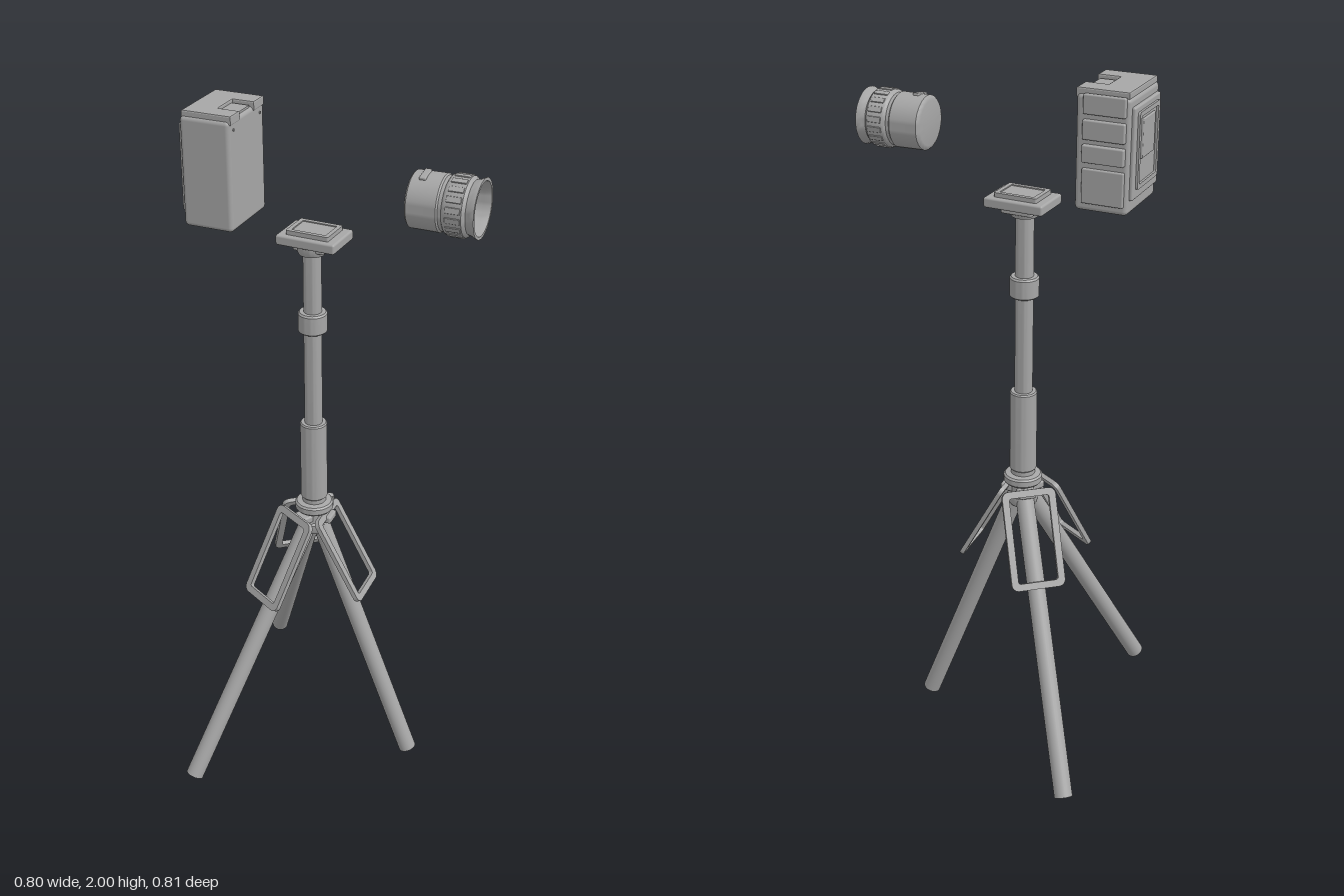
import * as THREE from 'three';
import { RoundedBoxGeometry } from 'three/addons/geometries/RoundedBoxGeometry.js';
import { toCreasedNormals } from 'three/addons/utils/BufferGeometryUtils.js';

const grey = new THREE.MeshStandardMaterial({ color: 0xa6a6a6 });
grey.name = 'plain grey';

function add(parent, name, geometry, x = 0, y = 0, z = 0) {
  const mesh = new THREE.Mesh(geometry, grey);
  mesh.name = name;
  mesh.position.set(x, y, z);
  parent.add(mesh);
  return mesh;
}

function group(parent, name, x, y, z) {
  const g = new THREE.Group();
  g.name = name;
  g.position.set(x, y, z);
  parent.add(g);
  return g;
}

// Lathe around y with crisp edges between the profile's steps
function lathe(points, sides = 40) {
  const profile = points.map(([r, y]) => new THREE.Vector2(r, y));
  return toCreasedNormals(new THREE.LatheGeometry(profile, sides), 0.6);
}

function roundedRect(Type, w, h, r) {
  const s = new Type();
  const a = w / 2 - r, b = h / 2 - r;
  s.absarc(a, b, r, 0, Math.PI / 2);
  s.absarc(-a, b, r, Math.PI / 2, Math.PI);
  s.absarc(-a, -b, r, Math.PI, Math.PI * 1.5);
  s.absarc(a, -b, r, Math.PI * 1.5, Math.PI * 2);
  s.closePath();
  return s;
}

// Rounded rectangular ring lying in xy, centred on its depth
function ring(w, h, bar, depth, radius) {
  const shape = roundedRect(THREE.Shape, w, h, radius);
  shape.holes.push(roundedRect(THREE.Path, w - 2 * bar, h - 2 * bar, radius * 0.35));
  const g = new THREE.ExtrudeGeometry(shape, { depth, bevelEnabled: false, curveSegments: 5 });
  return g.translate(0, 0, -depth / 2);
}

function buildTripod(root) {
  const tripod = group(root, 'tripod', -0.071, 0, -0.004);

  // Telescopic column with collar and hub discs
  add(tripod, 'column', lathe([
    [0, 0.745], [0.02, 0.745], [0.036, 0.755], [0.042, 0.765], [0.042, 0.785], [0.034, 0.79],
    [0.034, 0.822], [0.05, 0.826], [0.055, 0.832], [0.055, 0.848], [0.05, 0.853],
    [0.034, 0.855], [0.034, 0.868], [0.038, 0.872], [0.038, 1.108], [0.035, 1.112],
    [0.025, 1.112], [0.025, 1.392], [0.036, 1.394], [0.04, 1.398], [0.04, 1.448],
    [0.036, 1.453], [0.025, 1.453], [0.025, 1.618], [0.036, 1.622], [0.042, 1.635],
    [0.042, 1.65], [0, 1.65]]));

  // Three legs, each with a slanted brace frame beside the hub
  const feet = [[0.306, 0.009, 0, 0.1], [-0.285, 0.06, -0.378, 0.122], [-0.238, 0.045, 0.388, 0.13]];
  for (const [x, y, z, frameOut] of feet) {
    const angle = Math.atan2(-z, x);
    const reach = Math.hypot(x, z);
    const side = group(tripod, 'legAssembly', 0, 0, 0);
    side.rotation.y = angle;
    const foot = new THREE.Vector3(reach, y, 0);
    const top = new THREE.Vector3(0.015, 0.79, 0);
    const axis = top.clone().sub(foot);
    const leg = add(side, 'leg', new THREE.CylinderGeometry(0.026, 0.026, axis.length(), 24));
    leg.position.copy(foot).add(top).multiplyScalar(0.5);
    leg.quaternion.setFromUnitVectors(new THREE.Vector3(0, 1, 0), axis.normalize());

    const frame = ring(0.156, 0.282, 0.02, 0.013, 0.02).rotateY(Math.PI / 2);
    const brace = add(side, 'braceFrame', frame, frameOut, 0.7, 0);
    brace.rotation.z = 0.49;
    add(side, 'braceLug', new RoundedBoxGeometry(0.05, 0.022, 0.05, 2, 0.006), 0.035, 0.805, 0);
  }

  // Mounting plate on top, with a raised pad and rim
  const head = group(tripod, 'mountingHead', 0.004, 0, -0.007);
  head.rotation.y = -0.07;
  add(head, 'headBlock', new RoundedBoxGeometry(0.09, 0.02, 0.08, 2, 0.005), 0, 1.644, 0);
  add(head, 'plate', new RoundedBoxGeometry(0.17, 0.028, 0.122, 2, 0.006), 0, 1.664, 0);
  add(head, 'pad', new THREE.BoxGeometry(0.1, 0.012, 0.072), 0, 1.681, 0);
  add(head, 'padRim', ring(0.122, 0.092, 0.012, 0.014, 0.004).rotateX(-Math.PI / 2), 0, 1.683, 0);
}

function buildCamera(root) {
  const body = group(root, 'cameraBody', -0.315, 1.845, 0.002);
  body.rotation.y = -0.04;

  // Main block, with a top cap that has a notch open to +x
  add(body, 'mainBlock', new RoundedBoxGeometry(0.142, 0.296, 0.2, 3, 0.012), 0, -0.007, 0);
  const cap = new THREE.Shape();
  [[-0.062, -0.09], [0.069, -0.09], [0.069, -0.047], [0.008, -0.047], [0.008, 0.042],
    [0.069, 0.042], [0.069, 0.09], [-0.062, 0.09]].forEach(([x, y], i) =>
    i ? cap.lineTo(x, y) : cap.moveTo(x, y));
  const capGeometry = new THREE.ExtrudeGeometry(cap, {
    depth: 0.018, bevelSize: 0.004, bevelThickness: 0.004, bevelSegments: 2 });
  add(body, 'notchedCap', capGeometry.rotateX(-Math.PI / 2), 0, 0.133, 0);
  add(body, 'notchInsert', new THREE.BoxGeometry(0.05, 0.006, 0.066), 0.038, 0.143, 0.002);

  // Screen on the -x face
  add(body, 'screenSurround', new RoundedBoxGeometry(0.016, 0.235, 0.175, 2, 0.005), -0.072, 0, 0);
  add(body, 'screenRim', ring(0.14, 0.195, 0.012, 0.012, 0.008).rotateY(Math.PI / 2), -0.08, 0.005, 0);
  add(body, 'screen', new RoundedBoxGeometry(0.01, 0.1, 0.085, 2, 0.003), -0.08, 0.03, 0);

  // Panels on the -z face
  [[0.118, 0.05, 0.014], [0.055, 0.05, 0.018], [-0.005, 0.045, 0.022], [-0.088, 0.09, 0.012]]
    .forEach(([y, height, depth]) => add(body, 'sidePanel',
      new RoundedBoxGeometry(0.112, height, depth, 2, 0.004), -0.006, y, -0.102));

  // Small screws on the +x face
  for (const z of [-0.075, 0.075]) {
    add(body, 'screw', new THREE.CylinderGeometry(0.004, 0.004, 0.004, 12).rotateZ(Math.PI / 2), 0.071, 0.115, z);
  }
}

function buildLens(root) {
  const lens = group(root, 'lens', 0.305, 1.827, 0.034);
  lens.rotation.y = -0.03;

  // Barrel: stepped outside, flared lip and hollow bowl open to +x
  const barrel = lathe([
    [0, -0.09], [0.06, -0.09], [0.068, -0.088], [0.073, -0.083], [0.074, -0.005], [0.07, -0.001],
    [0.07, 0.008], [0.075, 0.012], [0.077, 0.016], [0.077, 0.062], [0.073, 0.067], [0.069, 0.07],
    [0.071, 0.08], [0.077, 0.092], [0.077, 0.094], [0.069, 0.094], [0.065, 0.075], [0.062, 0.03],
    [0.052, 0], [0.035, -0.018], [0.018, -0.026], [0, -0.028]], 48);
  add(lens, 'barrel', barrel.rotateZ(-Math.PI / 2));

  // Grip ribs around the focus ring
  const ribs = 18;
  for (let i = 0; i < ribs; i++) {
    const a = (i / ribs) * Math.PI * 2;
    const rib = add(lens, 'gripRib', new RoundedBoxGeometry(0.04, 0.006, 0.016, 1, 0.002),
      0.039, Math.cos(a) * 0.0765, Math.sin(a) * 0.0765);
    rib.rotation.x = a;
  }

  // Small switch on top of the barrel
  const lever = add(lens, 'switch', new RoundedBoxGeometry(0.018, 0.008, 0.05, 2, 0.003), -0.054, 0.071, 0.012);
  lever.rotation.x = 0.16;
}

export function createModel() {
  const model = new THREE.Group();
  model.name = 'tripodWithCamera';
  buildTripod(model);
  buildCamera(model);
  buildLens(model);
  return model;
}
